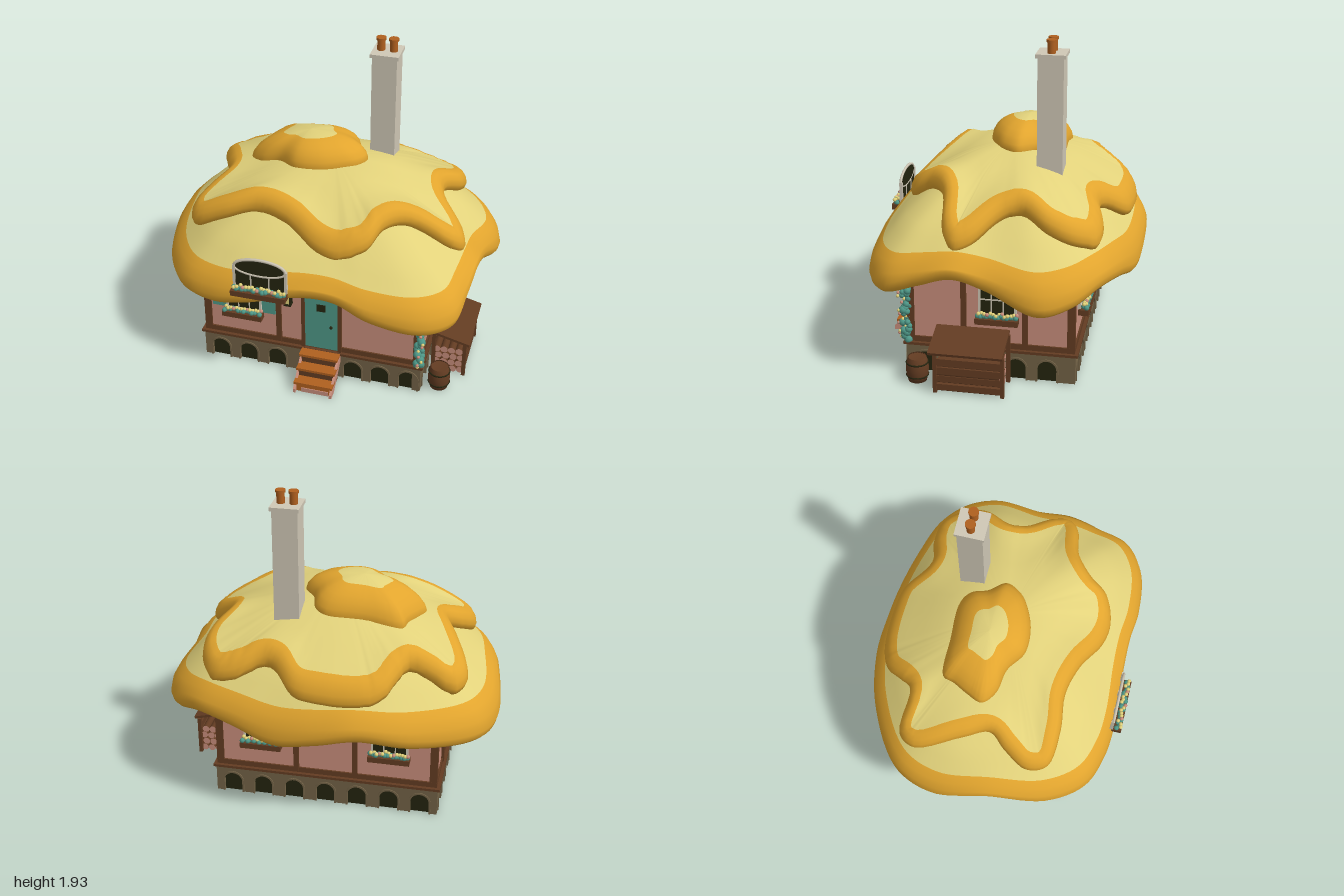
import * as THREE from 'three';

const mat = (name, color, side = THREE.FrontSide) => {
  const m = new THREE.MeshStandardMaterial({ color, side });
  m.name = name;
  return m;
};
const M = {
  thatch: mat('pale thatch', 0xe2d27b), gold: mat('golden thatch', 0xe2a52e),
  eave: mat('eave underside brown', 0x80461c), plaster: mat('pink plaster', 0xc98e7c),
  wood: mat('dark timber', 0x633c22), stone: mat('base stone', 0x726246),
  dark: mat('dark glass', 0x24240f, THREE.DoubleSide), teal: mat('teal', 0x4f9888),
  grey: mat('pale stone', 0xd0c8b6), clay: mat('terracotta', 0xb0601f),
};

let seed = 7;
const rand = () => (seed = (seed * 16807) % 2147483647) / 2147483647;

function add(parent, name, geo, material, x = 0, y = 0, z = 0) {
  const m = new THREE.Mesh(geo, material);
  m.name = name;
  m.position.set(x, y, z);
  parent.add(m);
  return m;
}
const box = (p, name, material, w, h, d, x, y, z) => add(p, name, new THREE.BoxGeometry(w, h, d), material, x, y, z);
function group(parent, name, x = 0, y = 0, z = 0, ry = 0) {
  const g = new THREE.Group();
  g.name = name;
  g.position.set(x, y, z);
  g.rotation.y = ry;
  parent.add(g);
  return g;
}
const extrude = (shape, depth) => new THREE.ExtrudeGeometry(shape, { depth, bevelEnabled: false });
const polygon = pts => new THREE.Shape(pts.map(p => new THREE.Vector2(...p)));

// ---- Thatch: closed outlines swept through rings of [inset, scale, height, material]
const SEG = 160;
const outline = pts => new THREE.CatmullRomCurve3(
  pts.map(([x, z, y = 0]) => new THREE.Vector3(x, y, z)), true).getPoints(SEG).slice(0, SEG);

const eaveLine = outline([
  [-0.55, 0.74, 0.58], [-0.35, 0.76, 0.62], [0, 0.74, 0.71], [0.2, 0.74, 0.71], [0.42, 0.76, 0.63], [0.72, 0.72, 0.57],
  [0.88, 0.6, 0.58], [0.92, 0.4, 0.65], [0.94, 0.2, 0.71], [0.95, 0, 0.66], [1.0, -0.3, 0.55], [0.92, -0.48, 0.58],
  [0.75, -0.62, 0.64], [0.52, -0.71, 0.62], [0.25, -0.78, 0.56], [0, -0.8, 0.6], [-0.25, -0.79, 0.65], [-0.55, -0.72, 0.6],
  [-0.9, -0.5, 0.56], [-1.0, -0.25, 0.55], [-0.97, 0.1, 0.67], [-0.9, 0.45, 0.6], [-0.75, 0.66, 0.58]]);
const middleLine = outline([
  [-0.82, -0.38], [-0.75, -0.49], [-0.5, -0.48], [-0.45, -0.55], [-0.38, -0.66], [-0.25, -0.72], [0, -0.73], [0.15, -0.7],
  [0.28, -0.58], [0.35, -0.56], [0.5, -0.6], [0.65, -0.58], [0.74, -0.45], [0.74, -0.3], [0.66, -0.15], [0.68, -0.05],
  [0.82, 0.1], [0.85, 0.2], [0.78, 0.27], [0.55, 0.32], [0.42, 0.42], [0.35, 0.54], [0.2, 0.6], [0.05, 0.58],
  [-0.15, 0.48], [-0.35, 0.43], [-0.55, 0.45], [-0.75, 0.42], [-0.8, 0.3], [-0.73, 0.15], [-0.66, 0.05], [-0.72, -0.1]].reverse());
const capLine = outline([
  [-0.53, -0.03], [-0.5, -0.12], [-0.45, -0.22], [-0.42, -0.29], [-0.2, -0.3], [0.03, -0.3], [0.1, -0.25], [0.13, -0.15],
  [0.2, -0.05], [0.16, 0.04], [0.08, 0.1], [-0.05, 0.15], [-0.2, 0.15], [-0.32, 0.07], [-0.45, 0.04]].reverse());

// Height of the main dome, falling from the centre to the eaves
const domeAt = r => 0.82 + 0.35 * (1 - Math.pow(Math.min(r, 1) / 0.92, 2.2));
function dome(x, z) {
  const len = Math.hypot(x, z);
  let best = -2, radius = 1;
  for (const p of eaveLine) {
    const l = Math.hypot(p.x, p.z), dot = len ? (p.x * x + p.z * z) / (l * len) : 0;
    if (dot > best) { best = dot; radius = l; }
  }
  return domeAt(len / radius);
}

// Inward direction at each outline point, averaged over its neighbours
function inward(line) {
  const at = i => line[(i + SEG) % SEG];
  return line.map((_, i) => {
    const n = new THREE.Vector3();
    for (let k = -3; k <= 3; k++) {
      const t = at(i + k + 1).clone().sub(at(i + k - 1)).setY(0).normalize();
      n.add(new THREE.Vector3(t.z, 0, -t.x));
    }
    return n.divideScalar(7);
  });
}

function thatch(parent, name, line, cx, cz, rows, materials) {
  const pos = [], idx = [], geo = new THREE.BufferGeometry(), dirs = inward(line);
  for (const [inset, s, height] of rows) line.forEach((p, i) => {
    const x = cx + (p.x + dirs[i].x * inset - cx) * s, z = cz + (p.z + dirs[i].z * inset - cz) * s;
    pos.push(x, height(x, z, p.y), z);
  });
  for (let j = 0; j < rows.length - 1; j++) {
    geo.addGroup(idx.length, SEG * 6, rows[j][3]);
    for (let i = 0; i < SEG; i++) {
      const a = j * SEG + i, b = j * SEG + (i + 1) % SEG;
      idx.push(a, b, b + SEG, a, b + SEG, a + SEG);
    }
  }
  geo.setAttribute('position', new THREE.Float32BufferAttribute(pos, 3));
  geo.setIndex(idx);
  geo.computeVertexNormals();
  add(parent, name, geo, materials);
}

function buildRoof(root) {
  const roof = group(root, 'thatchedRoof');
  const sag = (s, k) => (x, z, b) => domeAt(s) + (b - 0.66) * k;
  thatch(roof, 'lowerThatch', eaveLine, 0, 0, [
    [0, 0.7, () => 0.76, 0], [0, 0.86, (x, z, b) => 0.55 * b + 0.315, 0], [0, 0.958, (x, z, b) => b + 0.003, 1],
    [0, 0.972, (x, z, b) => b, 1], [0, 0.99, (x, z, b) => b + 0.02, 1], [0, 1, (x, z, b) => b + 0.06, 1],
    [0, 0.985, (x, z, b) => 0.6 * b + 0.351, 1], [0, 0.95, (x, z, b) => 0.8 + (b - 0.66) * 0.5, 1],
    [0, 0.905, sag(0.905, 0.4), 2], [0, 0.83, sag(0.83, 0.25), 2], [0, 0.75, sag(0.75, 0.1), 2],
    ...[0.6, 0.45, 0.3, 0.15, 0].map(s => [0, s, () => domeAt(s), 2])], [M.eave, M.gold, M.thatch]);
  const over = h => (x, z) => dome(x, z) + h;
  thatch(roof, 'middleThatch', middleLine, 0, 0, [
    [0.045, 1, over(-0.04), 0], [0.012, 1, over(0.005), 0], [0, 1, over(0.045), 0], [0.007, 1, over(0.08), 0],
    [0.028, 1, over(0.103), 0], [0.056, 1, over(0.108), 0], [0.088, 1, over(0.1), 1], [0.088, 0.9, over(0.085), 1],
    ...[0.75, 0.6, 0.45, 0.3, 0.15, 0].map(s => [0.088, s, over(0.072), 1])], [M.gold, M.thatch]);
  thatch(roof, 'ridgeCap', capLine, -0.16, -0.07, [
    [0, 0.88, over(0.03), 0], [0, 0.97, over(0.045), 0], [0, 1, over(0.075), 0], [0, 0.97, over(0.11), 0],
    [0, 0.88, over(0.145), 0], [0, 0.75, over(0.17), 0], [0, 0.6, over(0.187), 0], [0, 0.45, over(0.198), 1],
    [0, 0.25, over(0.206), 1], [0, 0, over(0.21), 1]], [M.gold, M.thatch]);
}

// ---- Planting
const leafGeo = new THREE.IcosahedronGeometry(1, 1);
function blob(p, name, material, r, x, y, z) {
  add(p, name, leafGeo, material, x, y, z).scale.setScalar(r);
}
function flowerBox(p, w, y) {
  box(p, 'flowerBox', M.wood, w, 0.035, 0.06, 0, y, 0.035);
  const n = Math.round(w / 0.018);
  for (let i = 0; i < n; i++) {
    const x = ((i + 0.5) / n - 0.5) * w * 0.96;
    blob(p, 'leaves', M.teal, 0.016, x, y + 0.022 + rand() * 0.01, 0.03 + rand() * 0.025);
    blob(p, 'flower', i % 5 === 3 ? M.plaster : M.thatch, 0.012, x + 0.006, y + 0.038 + rand() * 0.01, 0.03 + rand() * 0.03);
  }
}

// ---- Windows: dark pane, pale glazing bars and a flower box
function windowUnit(wall, x, shutters) {
  const g = group(wall, 'window', x), w = 0.21, h = 0.2, y = 0.495;
  box(g, 'pane', M.dark, w, h, 0.008, 0, y, 0.006);
  for (const s of [-1, 1]) {
    box(g, 'frameSide', M.grey, 0.012, h, 0.02, s * w / 2, y, 0.008);
    box(g, 'frameRail', M.grey, w + 0.012, 0.012, 0.02, 0, y + s * h / 2, 0.008);
    box(g, 'glazingBar', M.grey, 0.007, h, 0.014, s * w / 6, y, 0.008);
    if (shutters) box(g, 'shutter', M.teal, 0.085, 0.2, 0.014, s * 0.158, y, 0.008);
  }
  box(g, 'crossBar', M.grey, w, 0.007, 0.014, 0, y, 0.008);
  flowerBox(g, 0.25, 0.375);
}

// ---- Stone base wall with arched recesses, dark backs and raised rims
function archPath(s, a, r) {
  s.lineTo(a - r, 0);
  s.lineTo(a - r, 0.077);
  s.absarc(a, 0.077, r, Math.PI, 0, true);
  s.lineTo(a + r, 0);
  return s;
}
const rimShape = archPath(new THREE.Shape([new THREE.Vector2(-0.067, 0)]), 0, 0.067);
rimShape.lineTo(0.056, 0);
rimShape.lineTo(0.056, 0.077);
rimShape.absarc(0, 0.077, 0.056, 0, Math.PI, false);
rimShape.lineTo(-0.056, 0);
const rimGeo = extrude(rimShape, 0.01);

function buildWall(root, name, x, z, ry, half, posts, arches, windows) {
  const wall = group(root, name, x, 0, z, ry);
  const s = new THREE.Shape();
  s.moveTo(-half, 0);
  for (const a of arches) {
    archPath(s, a, 0.056);
    add(wall, 'archRim', rimGeo, M.stone, a, 0, 0.011);
    box(wall, 'archBack', M.dark, 0.12, 0.14, 0.006, a, 0.071, -0.003);
  }
  s.lineTo(half, 0);
  s.lineTo(half, 0.18);
  s.lineTo(-half, 0.18);
  add(wall, 'stoneBase', extrude(s, 0.05), M.stone, 0, 0, -0.035);
  for (const p of posts) box(wall, 'post', M.wood, 0.032, 0.6, 0.025, p, 0.5, 0.004);
  for (const w of windows) windowUnit(wall, w, name === 'frontWall');
  return wall;
}

function buildFront(front) {
  const door = group(front, 'door', 0.07);
  box(door, 'doorPanel', M.teal, 0.205, 0.39, 0.02, 0, 0.395, 0.006);
  for (const s of [-1, 1]) box(door, 'doorFrame', M.wood, 0.022, 0.53, 0.035, s * 0.113, 0.46, 0.006);
  box(door, 'doorWindow', M.dark, 0.055, 0.05, 0.008, -0.002, 0.505, 0.016);
  blob(door, 'doorKnob', M.dark, 0.01, 0.062, 0.375, 0.022);
  // Steps
  const steps = group(front, 'steps', 0.07);
  [0.19, 0.13, 0.07].forEach((y, i) => {
    const z = 0.06 + i * 0.06;
    box(steps, 'tread', M.clay, 0.24, 0.016, 0.07, 0, y - 0.008, z);
    box(steps, 'riser', i === 2 ? M.clay : M.wood, 0.215, y - 0.016, 0.05, 0, y / 2 - 0.008, z);
  });
  const side = polygon([[0.17, 0], [0.228, 0], [0.228, 0.025], [0.06, 0.17], [0.02, 0.17], [0.02, 0.12]]);
  for (const s of [-0.105, 0.12]) add(steps, 'stringer', extrude(side, 0.015).rotateY(-Math.PI / 2), M.plaster, s, 0, 0);
  box(steps, 'footing', M.plaster, 0.17, 0.03, 0.02, 0.01, 0.015, 0.2);
  // Lantern
  const lamp = group(front, 'lantern', -0.13, 0.55, 0.035);
  box(lamp, 'lampGlass', M.thatch, 0.03, 0.06, 0.03, 0, 0, 0);
  for (const x of [-1, 1]) for (const z of [-1, 1]) box(lamp, 'lampBar', M.dark, 0.01, 0.07, 0.01, x * 0.017, 0, z * 0.017);
  box(lamp, 'lampBase', M.dark, 0.044, 0.01, 0.044, 0, -0.038, 0);
  add(lamp, 'lampHood', new THREE.ConeGeometry(0.034, 0.03, 4).rotateY(Math.PI / 4), M.dark, 0, 0.047, 0);
}

// ---- Arched attic window standing in the thatch
function buildDormer(root) {
  const g = group(root, 'atticWindow', -0.23, 0, 0.74);
  const arc = (k, y) => Array.from({ length: 13 }, (_, i) => {
    const a = Math.PI * i / 12;
    return new THREE.Vector3(Math.cos(a) * 0.155, y + Math.sin(a) * k, 0);
  });
  const shape = polygon([[-0.155, 0.74], [0.155, 0.74], ...arc(0.06, 0.885).map(p => [p.x, p.y])]);
  add(g, 'pane', extrude(shape, 0.008), M.dark, 0, 0, 0);
  const tube = (name, pts, r) => add(g, name, new THREE.TubeGeometry(new THREE.CatmullRomCurve3(pts), 24, r, 6), M.grey, 0, 0, 0.005);
  tube('archFrame', arc(0.06, 0.885), 0.009);
  tube('curvedBar', arc(-0.05, 0.885), 0.008);
  for (const s of [-1, 1]) {
    box(g, 'frameSide', M.grey, 0.016, 0.15, 0.02, s * 0.155, 0.815, 0.003);
    box(g, 'bar', M.grey, 0.008, 0.1, 0.018, s * 0.055, 0.79, 0.003);
  }
  flowerBox(g, 0.33, 0.727);
}

// ---- Log store, barrel and climbing vine on the right
function buildYard(root) {
  const store = group(root, 'logStore', 0.82, 0, 0.11);
  box(store, 'storeRoof', M.wood, 0.25, 0.016, 0.43, 0, 0.285, 0.01).rotation.z = -0.25;
  for (const z of [-0.2, 0.19]) {
    box(store, 'storePost', M.wood, 0.022, 0.25, 0.022, 0.09, 0.125, z);
    box(store, 'backPost', M.wood, 0.022, 0.3, 0.022, -0.1, 0.15, z);
  }
  const log = new THREE.CylinderGeometry(0.023, 0.023, 0.37, 12).rotateX(Math.PI / 2);
  for (let j = 0; j < 4; j++) for (let i = 0; i < 4; i++)
    add(store, 'log', log, [M.wood, M.plaster, M.plaster], -0.07 + i * 0.046 - (j % 2) * 0.012, 0.026 + j * 0.046, 0);
  for (const y of [0.035, 0.088, 0.141, 0.194]) box(store, 'sideRail', M.wood, 0.012, 0.038, 0.39, 0.088, y, -0.005);

  const barrel = group(root, 'barrel', 0.785, 0, 0.435);
  const profile = [[0, 0], [0.054, 0], [0.064, 0.04], [0.067, 0.075], [0.064, 0.11], [0.054, 0.15], [0.05, 0.143], [0, 0.143]];
  add(barrel, 'staves', new THREE.LatheGeometry(profile.map(p => new THREE.Vector2(...p)), 20), M.wood);
  for (const y of [0.035, 0.115]) add(barrel, 'hoop', new THREE.TorusGeometry(0.063, 0.005, 6, 20).rotateX(Math.PI / 2), M.dark, 0, y, 0);

  const vine = group(root, 'vine', 0.672, 0, 0.525);
  for (let i = 0; i < 34; i++) {
    const y = 0.2 + i * 0.0112, x = (rand() - 0.5) * 0.03, z = (rand() - 0.5) * 0.05;
    blob(vine, 'leaves', M.teal, 0.016 + rand() * 0.01, x, y, z);
    if (i % 2) blob(vine, 'flower', i % 6 === 3 ? M.plaster : M.thatch, 0.01, x + 0.012, y, z + 0.022);
  }
}

export function createModel() {
  const root = new THREE.Group();
  root.name = 'cottage';
  const cz = 0.025;
  // Raised floor, sill and plaster walls
  box(root, 'floorUnderside', M.wood, 1.34, 0.01, 0.97, 0, 0.165, cz);
  box(root, 'sill', M.wood, 1.4, 0.016, 1.03, 0, 0.183, cz);
  box(root, 'walls', M.plaster, 1.34, 0.66, 0.97, 0, 0.52, cz);
  box(root, 'bottomRail', M.wood, 1.36, 0.035, 0.99, 0, 0.207, cz);
  for (const x of [-1, 1]) for (const z of [-1, 1])
    box(root, 'cornerPost', M.wood, 0.045, 0.62, 0.045, x * 0.657, 0.5, cz + z * 0.472);

  const sideArches = [-0.385, -0.205, -0.025, 0.155, 0.335];
  const front = buildWall(root, 'frontWall', 0, 0.51, 0, 0.685, [-0.2], [-0.58, -0.4, -0.215, 0.265, 0.435, 0.61], [-0.42]);
  buildFront(front);
  buildWall(root, 'rightWall', 0.67, cz, Math.PI / 2, 0.5, [-0.155, 0.205], sideArches, [0.045]);
  buildWall(root, 'leftWall', -0.67, cz, -Math.PI / 2, 0.5, [-0.205, 0.155], sideArches, [0]);
  buildWall(root, 'backWall', 0, -0.46, Math.PI, 0.685, [-0.18, 0.18], [-0.58, -0.39, -0.195, 0, 0.195, 0.39, 0.58], [-0.39, 0.39]);

  buildRoof(root);
  buildDormer(root);
  buildYard(root);

  // Chimney
  const chimney = group(root, 'chimney', 0.253, 0, -0.26);
  box(chimney, 'stack', M.grey, 0.15, 0.8, 0.15, 0, 1.435, 0);
  box(chimney, 'cappingSlab', M.grey, 0.172, 0.022, 0.172, 0, 1.845, 0);
  for (const x of [-0.038, 0.038]) {
    add(chimney, 'pot', new THREE.CylinderGeometry(0.024, 0.024, 0.08, 16), M.clay, x, 1.893, 0);
    add(chimney, 'potRim', new THREE.CylinderGeometry(0.03, 0.03, 0.014, 16), M.clay, x, 1.928, 0);
  }
  return root;
}
